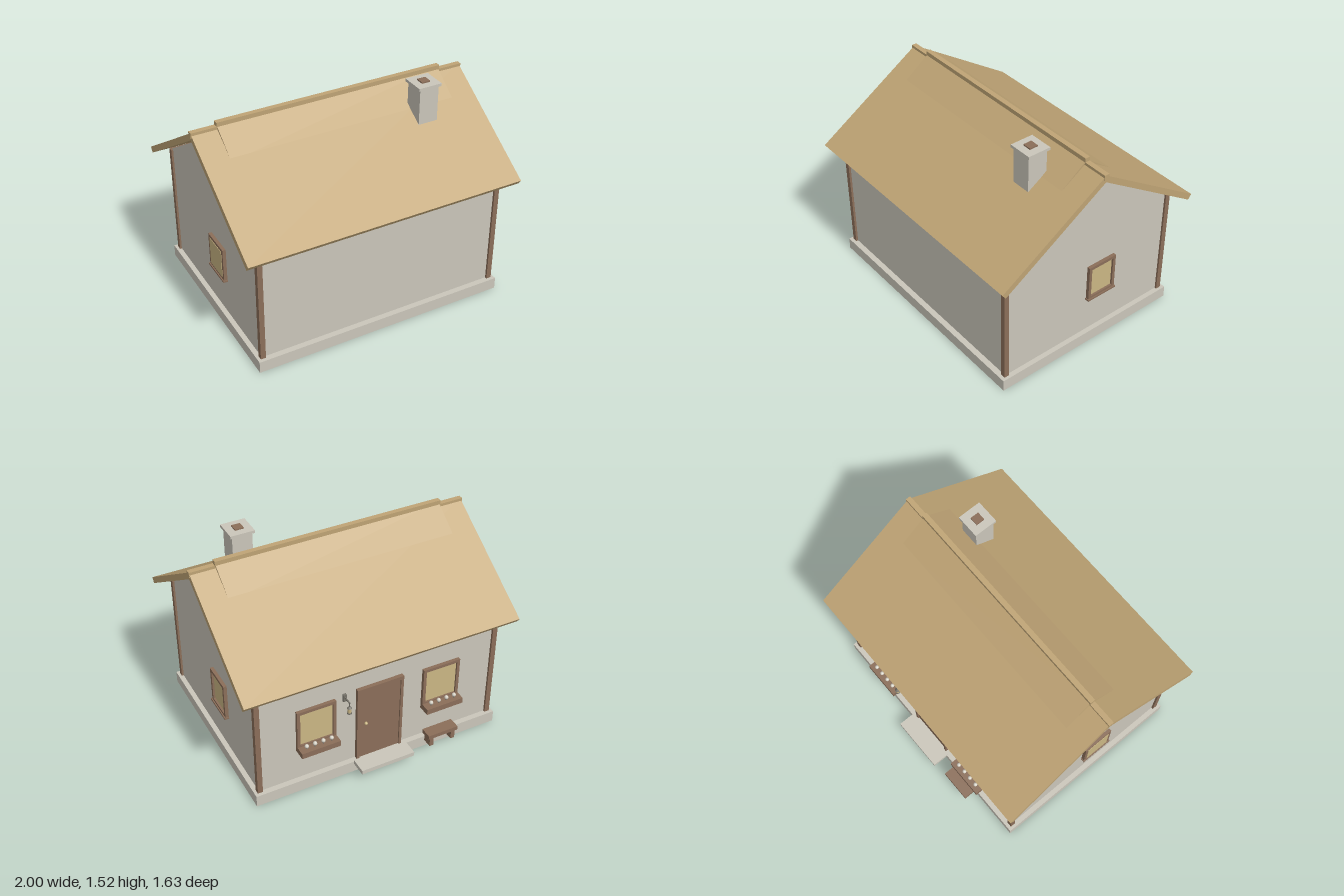
import * as THREE from 'three';

const mat = (name, color) => {
  const m = new THREE.MeshStandardMaterial({ color });
  m.name = name;
  return m;
};

export function createModel() {
  const stone = mat('pale plaster', 0xcac6ba);
  const thatch = mat('straw', 0xbfa475);
  const wood = mat('brown wood', 0x8b6e59);
  const glass = mat('warm glass', 0xcab684);
  const iron = mat('grey metal', 0x77736a);
  const petal = mat('pale petals', 0xd8d4c8);

  const house = new THREE.Group();
  house.name = 'cottage';
  const MID = 0.022; // z of the ridge

  const add = (parent, name, geometry, material, x = 0, y = 0, z = 0) => {
    const m = new THREE.Mesh(geometry, material);
    m.name = name;
    m.position.set(x, y, z);
    parent.add(m);
    return m;
  };
  // Box given by its min and max on each axis
  const box = (parent, name, material, [x0, x1], [y0, y1], [z0, z1]) =>
    add(parent, name, new THREE.BoxGeometry(x1 - x0, y1 - y0, z1 - z0), material,
      (x0 + x1) / 2, (y0 + y1) / 2, (z0 + z1) / 2);
  // (z, y) profile extruded along x, centred on x = 0
  const prism = (name, material, profile, width) => {
    const shape = new THREE.Shape(profile.map(([z, y]) => new THREE.Vector2(z, y)));
    const g = new THREE.ExtrudeGeometry(shape, { depth: width, bevelEnabled: false });
    g.translate(0, 0, -width / 2).rotateY(-Math.PI / 2);
    return add(house, name, g, material, 0, 0, MID);
  };

  // Foundation, walls with gables, corner posts and wall plates
  box(house, 'foundation', stone, [-0.917, 0.917], [0, 0.085], [-0.70, 0.745]);
  prism('walls', stone,
    [[-0.682, 0.085], [0.682, 0.085], [0.682, 0.925], [0, 1.365], [-0.682, 0.925]], 1.764);
  for (const x of [-0.878, 0.878])
    for (const z of [-0.658, 0.702])
      box(house, 'cornerPost', wood, [x - 0.018, x + 0.018], [0.085, 0.925], [z - 0.018, z + 0.018]);
  for (const z of [-0.662, 0.706])
    box(house, 'wallPlate', wood, [-0.86, 0.86], [0.898, 0.925], [z - 0.012, z + 0.012]);

  // Roof slopes, thicker ridge layer and ridge caps
  prism('roof', thatch,
    [[0, 1.378], [0.768, 0.88], [0.793, 0.915], [0, 1.428], [-0.793, 0.915], [-0.768, 0.88]], 1.99);
  prism('ridgeLayer', thatch, [[-0.215, 1.287], [0.215, 1.287], [0, 1.448]], 1.64);
  box(house, 'ridgeCap', thatch, [-1, 1], [1.40, 1.436], [MID - 0.018, MID + 0.018]);
  box(house, 'ridgeCapRaised', thatch, [-0.825, 0.825], [1.43, 1.465], [MID - 0.018, MID + 0.018]);

  // Chimney
  box(house, 'chimney', stone, [0.49, 0.632], [1.225, 1.488], [0.18, 0.325]);
  box(house, 'chimneyCap', stone, [0.475, 0.647], [1.487, 1.507], [0.167, 0.336]);
  box(house, 'chimneyFlue', wood, [0.53, 0.592], [1.505, 1.516], [0.22, 0.282]);

  // Framed window, facing local +z, centred on its origin
  const makeWindow = (name, w, h, paneOut) => {
    const g = new THREE.Group();
    g.name = name;
    const t = 0.022, a = w / 2, b = h / 2, d = [-0.01, 0.024];
    for (const s of [-1, 1]) {
      box(g, 'windowJamb', wood, [s * (a - t / 2) - t / 2, s * (a - t / 2) + t / 2], [-b, b], d);
      box(g, 'windowRail', wood, [-a + t, a - t], [s * (b - t / 2) - t / 2, s * (b - t / 2) + t / 2], d);
    }
    box(g, 'windowPane', glass, [-a + t, a - t], [-b + t, b - t], [paneOut - 0.008, paneOut]);
    house.add(g);
    return g;
  };

  // Side windows with sills
  for (const [s, z, h] of [[1, -0.088, 0.27], [-1, 0.09, 0.25]]) {
    const w = makeWindow('sideWindow', 0.228, h, s > 0 ? 0.01 : 0.027);
    w.position.set(s * 0.882, 0.365 + h / 2, z);
    w.rotation.y = s * Math.PI / 2;
    box(w, 'windowSill', wood, [-0.12, 0.12], [-h / 2 - 0.006, -h / 2 + 0.006], [0, 0.032]);
  }

  // Back windows with flower boxes
  for (const x of [-0.467, 0.467]) {
    const w = makeWindow('backWindow', 0.28, 0.3, 0.012);
    w.position.set(x, 0.508, -0.66);
    w.rotation.y = Math.PI;
    box(w, 'flowerBox', wood, [-0.14, 0.14], [-0.182, -0.14], [0, 0.09]);
    for (let i = 0; i < 4; i++) {
      const fx = -0.09 + i * 0.06;
      add(w, 'flowerStem', new THREE.CylinderGeometry(0.005, 0.005, 0.02, 6), iron, fx, -0.132, 0.055);
      add(w, 'flower', new THREE.SphereGeometry(0.015, 8, 6), petal, fx, -0.118, 0.055);
    }
  }

  // Door with frame, knob and step
  box(house, 'door', wood, [-0.155, 0.155], [0.085, 0.66], [-0.675, -0.65]);
  for (const s of [-1, 1])
    box(house, 'doorJamb', wood, [s * 0.162 - 0.01, s * 0.162 + 0.01], [0.085, 0.66], [-0.685, -0.65]);
  box(house, 'doorLintel', wood, [-0.172, 0.172], [0.655, 0.68], [-0.688, -0.65]);
  add(house, 'doorKnob', new THREE.SphereGeometry(0.012, 10, 8), glass, 0.105, 0.375, -0.683);
  box(house, 'doorStep', stone, [-0.2, 0.2], [0.065, 0.096], [-0.815, -0.695]);

  // Bench
  box(house, 'benchSeat', wood, [-0.545, -0.317], [0.15, 0.18], [-0.805, -0.72]);
  for (const x of [-0.515, -0.347])
    box(house, 'benchLeg', wood, [x - 0.015, x + 0.015], [0.08, 0.15], [-0.797, -0.727]);

  // Wall lantern on a bracket
  const lantern = new THREE.Group();
  lantern.name = 'lantern';
  lantern.position.set(0.26, 0, -0.737);
  house.add(lantern);
  box(lantern, 'lanternPlate', iron, [-0.012, 0.012], [0.62, 0.675], [0.06, 0.08]);
  box(lantern, 'lanternArm', iron, [-0.004, 0.004], [0.65, 0.658], [-0.004, 0.07]);
  box(lantern, 'lanternHook', iron, [-0.003, 0.003], [0.62, 0.654], [-0.003, 0.003]);
  add(lantern, 'lanternRoof', new THREE.CylinderGeometry(0.006, 0.017, 0.014, 8), iron, 0, 0.618, 0);
  add(lantern, 'lanternGlass', new THREE.CylinderGeometry(0.012, 0.012, 0.036, 8), glass, 0, 0.594, 0);
  add(lantern, 'lanternBase', new THREE.CylinderGeometry(0.016, 0.016, 0.008, 8), iron, 0, 0.572, 0);

  return house;
}
